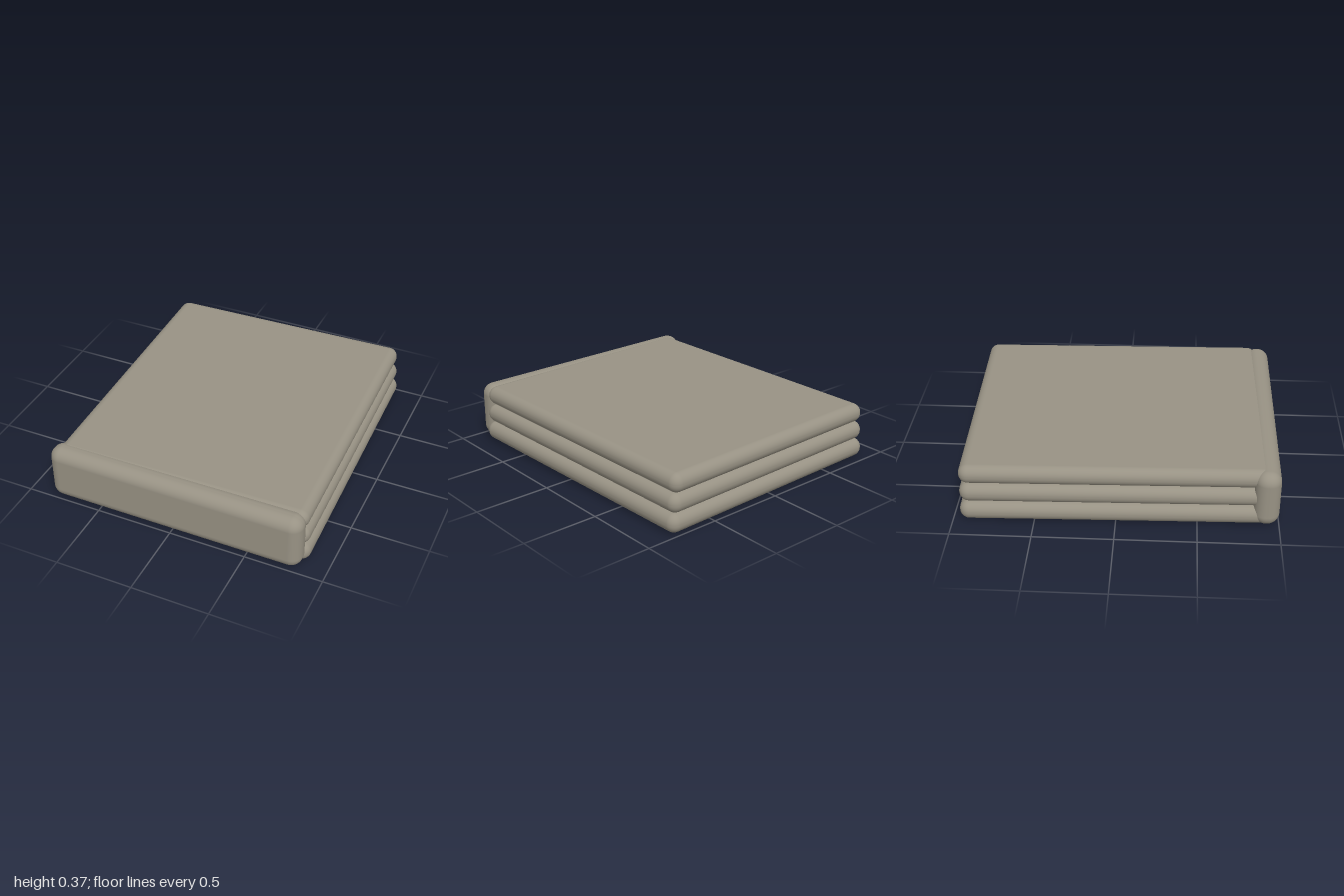
import * as THREE from 'three';
import { RoundedBoxGeometry } from 'three/addons/geometries/RoundedBoxGeometry.js';

export function createModel() {
  const model = new THREE.Group();
  const taupe = new THREE.MeshStandardMaterial({ color: 0x989284 });
  taupe.name = 'taupe';

  const addCushion = (name, size, radius, position, turn = 0) => {
    const mesh = new THREE.Mesh(new RoundedBoxGeometry(...size, 6, radius), taupe);
    mesh.name = name;
    mesh.position.set(...position);
    mesh.rotation.y = turn;
    model.add(mesh);
  };

  // three stacked pads, slightly turned and narrowing upwards
  const thick = 0.124;
  const widths = [1.694, 1.674, 1.654];
  const depths = [1.91, 1.905, 1.905];
  ['bottomPad', 'middlePad', 'topPad'].forEach((name, i) => {
    addCushion(name, [widths[i], thick, depths[i]], 0.06, [0, thick * (i + 0.5), -0.024], 0.025);
  });

  // upright bolster across the front
  addCushion('frontBolster', [1.69, 0.37, 0.16], 0.075, [0, 0.188, 0.92]);

  return model;
}
